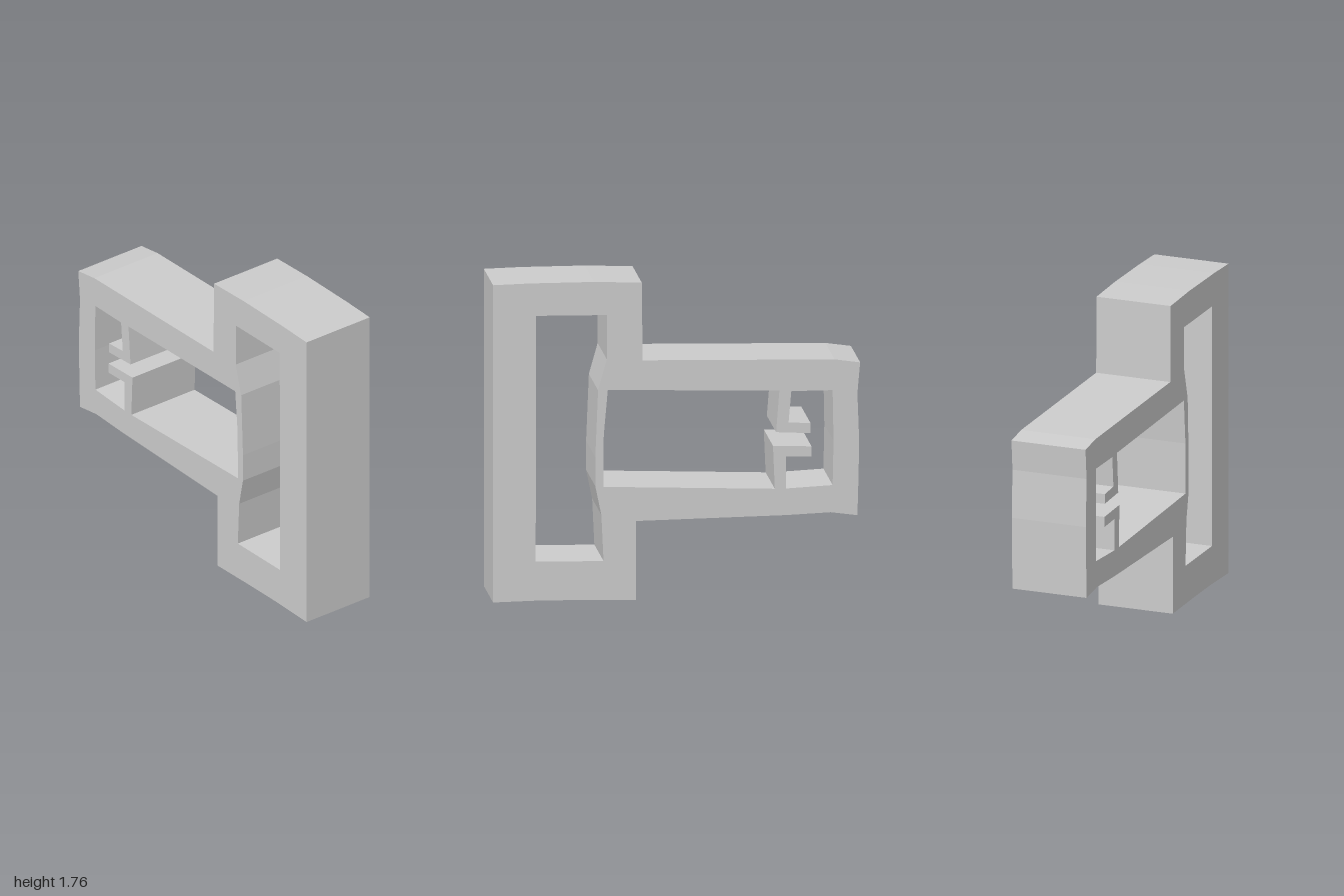
import * as THREE from 'three';

const points = (list) => list.map(([x, y]) => new THREE.Vector2(x, y));

export function createModel() {
  const model = new THREE.Group();
  const material = new THREE.MeshStandardMaterial({ color: 0xcccccc, flatShading: true });

  // Silhouette: wide arm on the left, tall upright on the right
  const outline = new THREE.Shape(points([
    [-1, 1.29], [-0.985, 1.12], [-0.995, 0.85], [-0.99, 0.62], [-0.985, 0.445],
    [-0.84, 0.465], [-0.6, 0.455], [0.22, 0.442],
    [0.22, 0.005], [0.5, 0.012], [0.75, 0.015], [1, 0.01],
    [1, 1.765], [0.8, 1.77], [0.45, 1.77], [0.19, 1.76],
    [0.185, 1.33], [-0.86, 1.31],
  ]));

  // Tall slot in the upright, with a bowed inner wall
  const slot = new THREE.Path(points([
    [0.38, 1.585], [0.765, 1.59], [0.768, 0.23], [0.398, 0.225],
    [0.41, 0.48], [0.443, 0.64], [0.443, 0.8], [0.428, 1.17], [0.38, 1.34],
  ]));

  // Arm opening, running around the two hooked prongs and the gap between them
  const opening = new THREE.Path(points([
    [-0.85, 1.14], [-0.625, 1.14], [-0.61, 0.968], [-0.73, 0.96], [-0.73, 0.905],
    [-0.542, 0.915], [-0.56, 1.145],
    [0.375, 1.17], [0.397, 0.92], [0.398, 0.635],
    [-0.535, 0.602], [-0.525, 0.84], [-0.735, 0.832], [-0.735, 0.775],
    [-0.595, 0.78], [-0.595, 0.602],
    [-0.85, 0.615], [-0.855, 0.86],
  ]));

  outline.holes.push(slot, opening);
  const depth = 0.435;
  const geometry = new THREE.ExtrudeGeometry(outline, { depth, bevelEnabled: false });
  geometry.translate(0, -0.005, -depth / 2);

  const frame = new THREE.Mesh(geometry, material);
  frame.name = 'hookedFrame';
  model.add(frame);
  return model;
}
